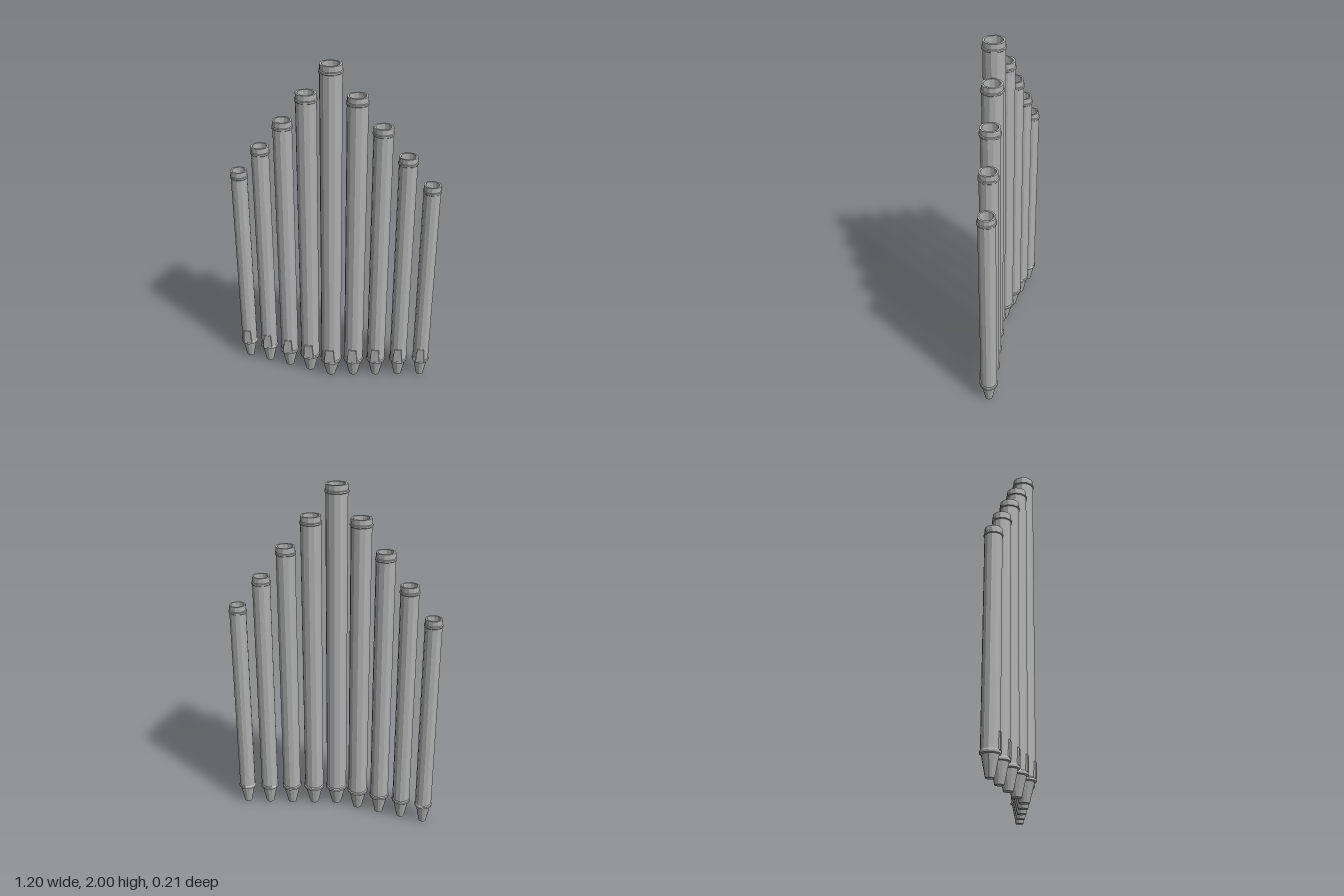
import * as THREE from 'three';

const metal = new THREE.MeshStandardMaterial({ color: 0xb0b0b0, flatShading: true });
metal.name = 'pipe metal';

// Turned tube with a tapered foot, foot ring, top ring and hollow mouth
function pipeBody(h, r) {
  const profile = [
    [0, 0], [0.46, 0], [0.9, 0.108], [1.09, 0.112], [1.09, 0.124], [1, 0.13],
    [1, h - 0.046], [1.09, h - 0.042], [1.09, h - 0.033], [1, h - 0.03],
    [1, h], [0.79, h], [0.79, h - 0.12], [0, h - 0.12],
  ].map(([k, y]) => new THREE.Vector2(k * r, y));
  return new THREE.LatheGeometry(profile, 12);
}

// Flat lip plate, narrower towards the top
function lipPlate(r) {
  const w = 0.53 * r, t = 0.41 * r;
  const shape = new THREE.Shape([
    new THREE.Vector2(-w, 0.124), new THREE.Vector2(w, 0.124),
    new THREE.Vector2(t, 0.215), new THREE.Vector2(-t, 0.215),
  ]);
  const g = new THREE.ExtrudeGeometry(shape, { depth: 0.25 * r, bevelEnabled: false });
  return g.translate(0, 0, 0.8 * r);
}

export function createModel() {
  const model = new THREE.Group();
  model.name = 'organPipes';
  // Tallest in the middle, shorter, thinner and further back to each side
  for (let i = -4; i <= 4; i++) {
    const n = Math.abs(i);
    const h = 2 - 0.17 * n;
    const r = 0.061 * (1 - 0.053 * n);
    const pipe = new THREE.Group();
    pipe.name = 'pipe';
    const body = new THREE.Mesh(pipeBody(h, r), metal);
    body.name = 'pipeBody';
    const lip = new THREE.Mesh(lipPlate(r), metal);
    lip.name = 'pipeLip';
    pipe.add(body, lip);
    pipe.position.set(0.137 * i, 0, 0.037 - 0.0232 * n);
    model.add(pipe);
  }
  return model;
}
